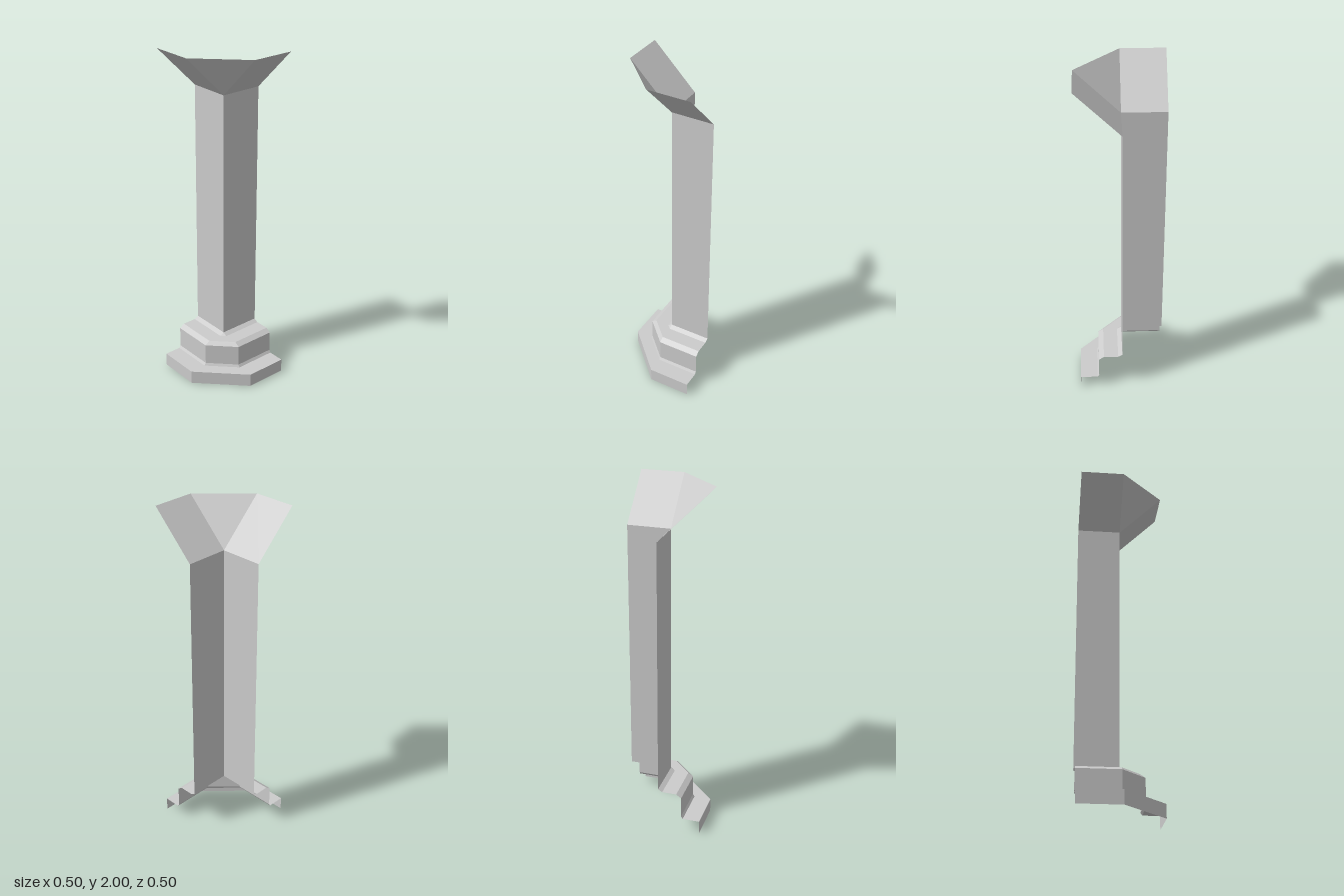
import * as THREE from 'three';

const REACH = 0.25; // length of each wing away from the corner

// Plan line of the corner pillar at distance d from the walls: wing, chamfer, wing
function planAt([d, y]) {
  return [[-REACH, d], [0, d], [d, 0], [d, -REACH]].map(([x, z]) => new THREE.Vector3(x, y, z));
}

// Sweep a profile of [distance, height] points around the chamfered corner
function cornerSweep(name, profile, material) {
  const positions = [];
  const triangle = (a, b, c) => {
    const area = b.clone().sub(a).cross(c.clone().sub(a)).length();
    if (area > 1e-8) for (const v of [a, b, c]) positions.push(v.x, v.y, v.z);
  };
  for (let i = 0; i < profile.length - 1; i++) {
    const low = planAt(profile[i]);
    const high = planAt(profile[i + 1]);
    for (let j = 0; j < 3; j++) {
      triangle(low[j], low[j + 1], high[j + 1]);
      triangle(low[j], high[j + 1], high[j]);
    }
  }
  const geometry = new THREE.BufferGeometry();
  geometry.setAttribute('position', new THREE.Float32BufferAttribute(positions, 3));
  geometry.computeVertexNormals();
  const mesh = new THREE.Mesh(geometry, material);
  mesh.name = name;
  return mesh;
}

export function createModel() {
  const group = new THREE.Group();
  group.name = 'cornerPillar';
  const material = new THREE.MeshStandardMaterial({
    color: 0xcccccc, flatShading: true, side: THREE.DoubleSide,
  });

  // Plinth slab
  group.add(cornerSweep('plinth', [[0.25, 0], [0.25, 0.08], [0.15, 0.08]], material));
  // Bevelled block above the plinth, with small fillets below and above
  group.add(cornerSweep('baseBlock', [
    [0.15, 0.08], [0.14, 0.095], [0.14, 0.22], [0.11, 0.24], [0.025, 0.24], [0, 0.255],
  ], material));
  // Plain square-cornered shaft
  group.add(cornerSweep('shaft', [[0, 0.255], [0, 1.75]], material));
  // Flared capital
  group.add(cornerSweep('capital', [[0, 1.75], [0.25, 2]], material));

  return group;
}
